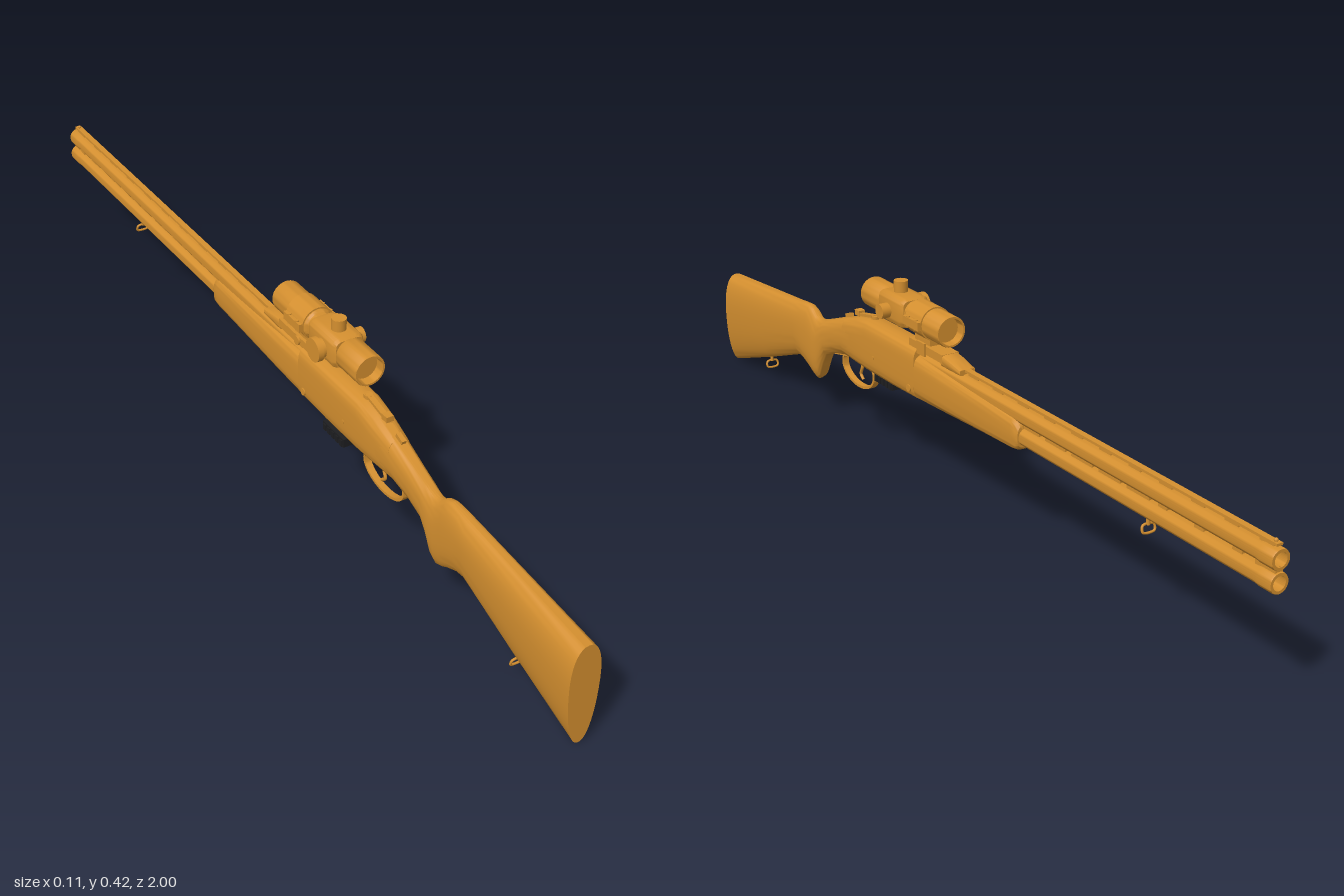
import * as THREE from 'three';
import { toCreasedNormals } from 'three/addons/utils/BufferGeometryUtils.js';

const amber = new THREE.MeshStandardMaterial({ color: 0xd48f2f });
amber.name = 'amber';
const black = new THREE.MeshStandardMaterial({ color: 0x1e1e20 });
black.name = 'black';

// Skin over rounded sections [z, bottom, top, halfWidth, squareness, bottomTaper], ordered +z to -z
function loft(sections, sides = 40) {
  const pos = [], idx = [];
  const rings = sections.map(([z, y0, y1, w, n = 2.4, taper = 0]) => {
    const ring = [];
    for (let j = 0; j < sides; j++) {
      const a = (j / sides) * Math.PI * 2, c = Math.cos(a), s = Math.sin(a);
      const px = Math.sign(c) * Math.abs(c) ** (2 / n), py = Math.sign(s) * Math.abs(s) ** (2 / n);
      ring.push([w * px * (1 + taper * py), (y0 + y1) / 2 + ((y1 - y0) / 2) * py, z]);
    }
    return ring;
  });
  rings.forEach((r) => r.forEach((p) => pos.push(...p)));
  for (let i = 0; i < rings.length - 1; i++) {
    for (let j = 0; j < sides; j++) {
      const k = (j + 1) % sides, a = i * sides + j, b = i * sides + k;
      idx.push(a, a + sides, b, b, a + sides, b + sides);
    }
  }
  // End caps
  [0, rings.length - 1].forEach((i) => {
    const [z, y0, y1] = sections[i], centre = pos.length / 3;
    pos.push(0, (y0 + y1) / 2, z);
    for (let j = 0; j < sides; j++) {
      const a = i * sides + j, b = i * sides + ((j + 1) % sides);
      if (i === 0) idx.push(centre, a, b);
      else idx.push(centre, b, a);
    }
  });
  const g = new THREE.BufferGeometry();
  g.setAttribute('position', new THREE.Float32BufferAttribute(pos, 3));
  g.setIndex(idx);
  return toCreasedNormals(g, 0.7);
}

// Turned part along z; profile points are [radius, z], running from +z to -z on the outside
function turned(profile, sides = 32) {
  const g = new THREE.LatheGeometry(profile.map(([r, z]) => new THREE.Vector2(r, -z)), sides);
  g.rotateX(-Math.PI / 2);
  return toCreasedNormals(g, 0.6);
}

export function createModel() {
  const root = new THREE.Group();
  root.name = 'sportingGun';

  const add = (name, geo, x = 0, y = 0, z = 0, mat = amber, parent = root) => {
    const m = new THREE.Mesh(geo, mat);
    m.name = name;
    m.position.set(x, y, z);
    parent.add(m);
    return m;
  };
  const box = (name, w, h, d, x, y, z, mat, parent) =>
    add(name, new THREE.BoxGeometry(w, h, d), x, y, z, mat, parent);
  const rod = (name, r, len, axis, x, y, z, parent) => {
    const m = add(name, new THREE.CylinderGeometry(r, r, len, 24), x, y, z, amber, parent);
    if (axis === 'x') m.rotation.z = Math.PI / 2;
    if (axis === 'z') m.rotation.x = Math.PI / 2;
    return m;
  };
  const tube = (name, pts, r, closed = false) =>
    add(name, new THREE.TubeGeometry(
      new THREE.CatmullRomCurve3(pts.map((p) => new THREE.Vector3(...p)), closed), 40, r, 8, closed));

  // Buttstock with comb and pistol grip
  add('stock', loft([
    [1, 0, 0.222, 0.032, 2.3, 0.17],
    [0.82, 0.06, 0.237, 0.028, 2.3, 0.12],
    [0.66, 0.117, 0.25, 0.024, 2.3, 0.08],
    [0.635, 0.115, 0.253, 0.023],
    [0.605, 0.102, 0.255, 0.022],
    [0.587, 0.092, 0.25, 0.0215],
    [0.57, 0.086, 0.238, 0.021],
    [0.556, 0.095, 0.235, 0.021],
    [0.54, 0.13, 0.237, 0.021],
    [0.522, 0.158, 0.243, 0.021],
    [0.48, 0.175, 0.258, 0.022],
    [0.43, 0.187, 0.276, 0.025],
    [0.38, 0.19, 0.29, 0.028, 3],
  ]));

  // Receiver
  add('receiver', loft([
    [0.42, 0.19, 0.278, 0.025, 3],
    [0.36, 0.19, 0.296, 0.0295, 3.5],
    [0.31, 0.19, 0.306, 0.031, 4],
    [0.2, 0.191, 0.306, 0.031, 4.5],
    [0.1, 0.194, 0.306, 0.031, 4.5],
  ]));

  // Fore-end under the barrels
  add('foreEnd', loft([
    [0.1, 0.194, 0.29, 0.0305, 4],
    [0, 0.198, 0.286, 0.03, 4],
    [-0.15, 0.204, 0.279, 0.027, 4],
    [-0.25, 0.207, 0.274, 0.025, 4],
    [-0.265, 0.209, 0.27, 0.0245, 3.5],
    [-0.272, 0.215, 0.262, 0.021, 3],
  ]));

  // Over and under barrels with open muzzles
  [['upperBarrel', 0.279], ['lowerBarrel', 0.2365]].forEach(([name, y]) => {
    add(name, turned([
      [0.0195, 0.12], [0.0188, -0.3], [0.0185, -0.955], [0.02, -0.965], [0.02, -0.997], [0.019, -1],
      [0.0135, -1], [0.013, -0.9], [0, -0.9],
    ]), 0, y);
  });
  box('muzzleBridge', 0.016, 0.016, 0.05, 0, 0.258, -0.972);

  // Joining strip between the barrels, with vents
  for (let i = 0; i < 5; i++) box('sideRib', 0.012, 0.012, 0.065, 0, 0.2575, -0.29 - i * 0.085);
  for (let i = 0; i < 3; i++) box('sideRibLink', 0.012, 0.012, 0.025, 0, 0.2575, -0.7 - i * 0.1);

  // Raised sighting rib, posts and bead
  box('topRib', 0.013, 0.005, 1.09, 0, 0.3045, -0.45);
  for (let i = 0; i < 12; i++) box('ribPost', 0.009, 0.01, 0.035, 0, 0.299, 0 - i * 0.088);
  add('frontBead', new THREE.SphereGeometry(0.004, 12, 8), 0, 0.309, -0.985);

  // Top lever and safety catch
  const lever = box('topLever', 0.012, 0.006, 0.075, 0, 0.304, 0.345);
  lever.rotation.x = 0.2;
  rod('leverPivot', 0.009, 0.012, 'y', 0, 0.307, 0.31);
  box('leverThumbPiece', 0.016, 0.012, 0.018, 0, 0.301, 0.378);
  const safety = box('safetyCatch', 0.01, 0.009, 0.022, 0, 0.281, 0.425);
  safety.rotation.x = 0.33;

  // Hinge pins and screws on both sides
  [-1, 1].forEach((s) => {
    rod('hingePin', 0.008, 0.003, 'x', s * 0.031, 0.215, 0.12);
    rod('sidePin', 0.004, 0.003, 'x', s * 0.0305, 0.235, 0.27);
  });

  // Trigger guard bow and trigger
  const bow = new THREE.Shape();
  bow.absellipse(0, 0, 0.071, 0.04, 0, Math.PI * 2);
  const hole = new THREE.Path();
  hole.absellipse(0, 0.001, 0.066, 0.035, 0, Math.PI * 2);
  bow.holes.push(hole);
  const bowGeo = new THREE.ExtrudeGeometry(bow, { depth: 0.014, bevelEnabled: false, curveSegments: 32 });
  bowGeo.translate(0, 0, -0.007).rotateY(Math.PI / 2);
  add('triggerGuard', toCreasedNormals(bowGeo, 0.6), 0, 0.168, 0.38);
  box('guardTang', 0.014, 0.008, 0.09, 0, 0.184, 0.45).rotation.x = 0.2;
  tube('trigger', [[0, 0.195, 0.375], [0, 0.175, 0.372], [0, 0.158, 0.378], [0, 0.147, 0.367]], 0.0035);

  // Black ribbed block under the receiver
  box('underBlock', 0.056, 0.018, 0.076, -0.006, 0.188, 0.241, black);
  for (let i = 0; i < 5; i++) box('underBlockRidge', 0.06, 0.014, 0.008, -0.006, 0.186, 0.211 + i * 0.015, black);

  // Sling swivels
  [['rearSwivel', 0.064, 0.82], ['frontSwivel', 0.218, -0.655]].forEach(([name, y, z]) => {
    rod(name + 'Stud', 0.004, 0.016, 'y', 0, y - 0.006, z);
    tube(name + 'Loop', [
      [-0.012, y - 0.014, z], [0.012, y - 0.014, z], [0.013, y - 0.026, z - 0.003], [-0.013, y - 0.026, z - 0.003],
    ], 0.0025, true);
  });

  // Optic and its mount
  const optic = new THREE.Group();
  optic.name = 'optic';
  root.add(optic);
  const sy = 0.367;
  add('opticTube', turned([
    [0, 0.295], [0.027, 0.295], [0.028, 0.315], [0.032, 0.315], [0.033, 0.312], [0.033, 0.245], [0.029, 0.238],
    [0.029, 0.13], [0.033, 0.125], [0.033, 0.003], [0.032, 0], [0.028, 0], [0.027, 0.02], [0, 0.02],
  ], 40), 0, sy, 0, amber, optic);
  add('turretHousing', loft([
    [0.24, sy - 0.029, sy + 0.029, 0.03, 5],
    [0.232, sy - 0.032, sy + 0.032, 0.035, 5],
    [0.15, sy - 0.032, sy + 0.032, 0.035, 5],
    [0.14, sy - 0.029, sy + 0.029, 0.03, 5],
  ]), 0, 0, 0, amber, optic);
  rod('elevationTurret', 0.015, 0.03, 'y', 0, 0.408, 0.2, optic);
  rod('elevationCollar', 0.013, 0.01, 'y', 0, 0.398, 0.2, optic);
  rod('windageTurret', 0.016, 0.02, 'x', 0.046, sy - 0.002, 0.195, optic);
  rod('windageCollar', 0.012, 0.02, 'x', 0.034, sy - 0.002, 0.195, optic);
  rod('brightnessDial', 0.025, 0.012, 'x', -0.049, sy - 0.003, 0.195, optic);
  rod('dialCollar', 0.02, 0.016, 'x', -0.038, sy - 0.003, 0.195, optic);

  // Clamp ring with side lugs
  add('clampRing', turned([[0.03, 0.123], [0.036, 0.123], [0.036, 0.062], [0.03, 0.062]], 40), 0, sy, 0, amber, optic);
  [-1, 1].forEach((s) => {
    box('clampLug', 0.012, 0.018, 0.06, s * 0.036, sy, 0.0925, amber, optic);
    [0.078, 0.107].forEach((z) => rod('clampScrew', 0.004, 0.022, 'y', s * 0.038, sy, z, optic));
  });
  box('mountNeck', 0.026, 0.03, 0.06, 0, 0.325, 0.0925, amber, optic);
  box('mountBase', 0.04, 0.018, 0.13, 0, 0.311, 0.07, amber, optic);
  add('mountRamp', loft([
    [0.01, 0.295, 0.32, 0.02, 6],
    [-0.02, 0.295, 0.316, 0.02, 6],
    [-0.06, 0.295, 0.307, 0.018, 6],
  ]), 0, 0, 0, amber, optic);
  box('mountLever', 0.005, 0.028, 0.03, 0.0235, 0.313, 0.08, amber, optic);
  rod('mountNut', 0.01, 0.006, 'x', -0.021, 0.311, 0.08, optic);

  return root;
}
